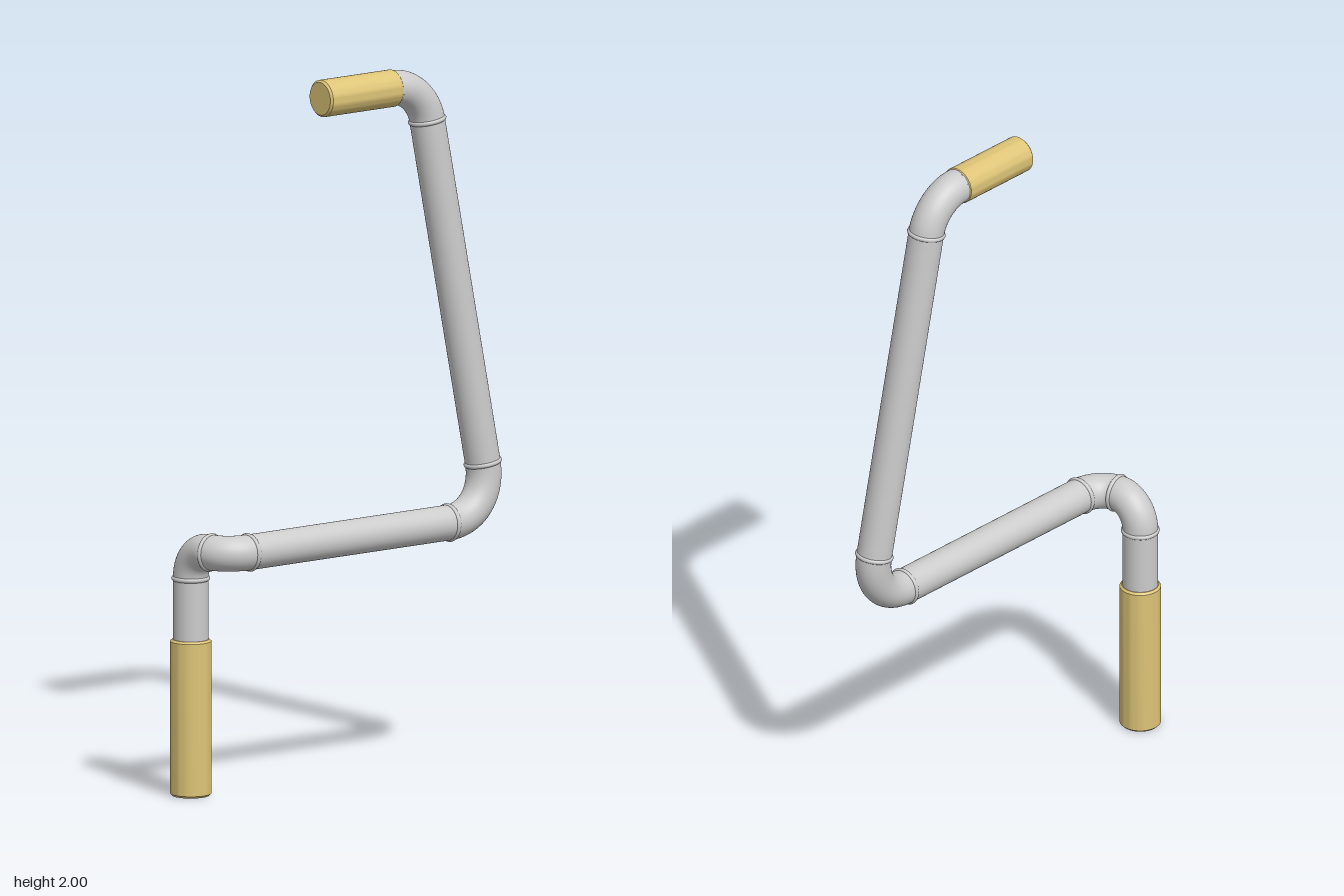
import * as THREE from 'three';
import { toCreasedNormals } from 'three/addons/utils/BufferGeometryUtils.js';

const R = 0.05; // pipe radius
const UP = new THREE.Vector3(0, 1, 0);
const FORWARD = new THREE.Vector3(0, 0, 1);

export function createModel() {
  const group = new THREE.Group();
  const steel = new THREE.MeshStandardMaterial({ color: 0xcccccc });
  const brass = new THREE.MeshStandardMaterial({ color: 0xddc477 });

  const add = (name, geometry, material) => {
    const mesh = new THREE.Mesh(geometry, material);
    mesh.name = name;
    group.add(mesh);
    return mesh;
  };

  // Raised weld bead around the pipe at parameter t of a bend
  const addCollar = (name, curve, t) => {
    const collar = add(name, new THREE.TorusGeometry(0.0475, 0.007, 10, 40), steel);
    collar.position.copy(curve.getPoint(t));
    collar.quaternion.setFromUnitVectors(FORWARD, curve.getTangent(t));
  };

  // Solid cylindrical grip with slightly bevelled ends, from a to b
  const addGrip = (name, a, b, radius) => {
    const length = a.distanceTo(b);
    const bevel = 0.006;
    const profile = [
      [0, 0], [radius - bevel, 0], [radius, bevel],
      [radius, length - bevel], [radius - bevel, length], [0, length],
    ].map(([x, y]) => new THREE.Vector2(x, y));
    const grip = add(name, toCreasedNormals(new THREE.LatheGeometry(profile, 48), 0.5), brass);
    grip.position.copy(a);
    grip.quaternion.setFromUnitVectors(UP, b.clone().sub(a).normalize());
  };

  // Corners of the crank path, from the lower grip to the upper grip
  const path = [
    [-0.465, 0.40, -0.075],
    [-0.465, 0.703, -0.075],
    [-0.465, 0.703, 0.077],
    [0.491, 0.703, 0.077],
    [0.29, 1.948, 0.014],
    [0.15, 1.948, 0.014],
  ].map((p) => new THREE.Vector3(...p));

  // Each bend: length used before and after its corner, and collar positions
  const bends = [
    { name: 'lowerGripBend', before: 0.085, after: 0.075, collars: [0] },
    { name: 'sideBend', before: 0.077, after: 0.085, collars: [0.1, 1] },
    { name: 'armBend', before: 0.155, after: 0.158, collars: [0, 1] },
    { name: 'upperGripBend', before: 0.105, after: 0.1, collars: [0] },
  ];
  const pipes = ['lowerPipe', 'offsetPipe', 'crossPipe', 'armPipe', 'upperPipe'];

  const addPipe = (name, a, b) => {
    if (a.distanceTo(b) < 0.005) return;
    add(name, new THREE.TubeGeometry(new THREE.LineCurve3(a, b), 1, R, 40), steel);
  };

  // Straight pipes joined by rounded bends
  let last = path[0];
  bends.forEach(({ name, before, after, collars }, i) => {
    const corner = path[i + 1];
    const toward = (p, d) => corner.clone().add(p.clone().sub(corner).setLength(d));
    const start = toward(path[i], before);
    const end = toward(path[i + 2], after);
    const curve = new THREE.CubicBezierCurve3(
      start, start.clone().lerp(corner, 0.552), end.clone().lerp(corner, 0.552), end);
    addPipe(pipes[i], last, start);
    add(name, new THREE.TubeGeometry(curve, 24, R, 40), steel);
    collars.forEach((t) => addCollar(name + 'Collar', curve, t));
    last = end;
  });
  addPipe(pipes[4], last, path[5]);

  // Grips at both ends
  addGrip('lowerGrip', new THREE.Vector3(-0.465, 0, -0.075), new THREE.Vector3(-0.465, 0.445, -0.075), 0.058);
  addGrip('upperGrip', new THREE.Vector3(-0.073, 1.948, 0.014), new THREE.Vector3(0.19, 1.948, 0.014), 0.0525);

  return group;
}
